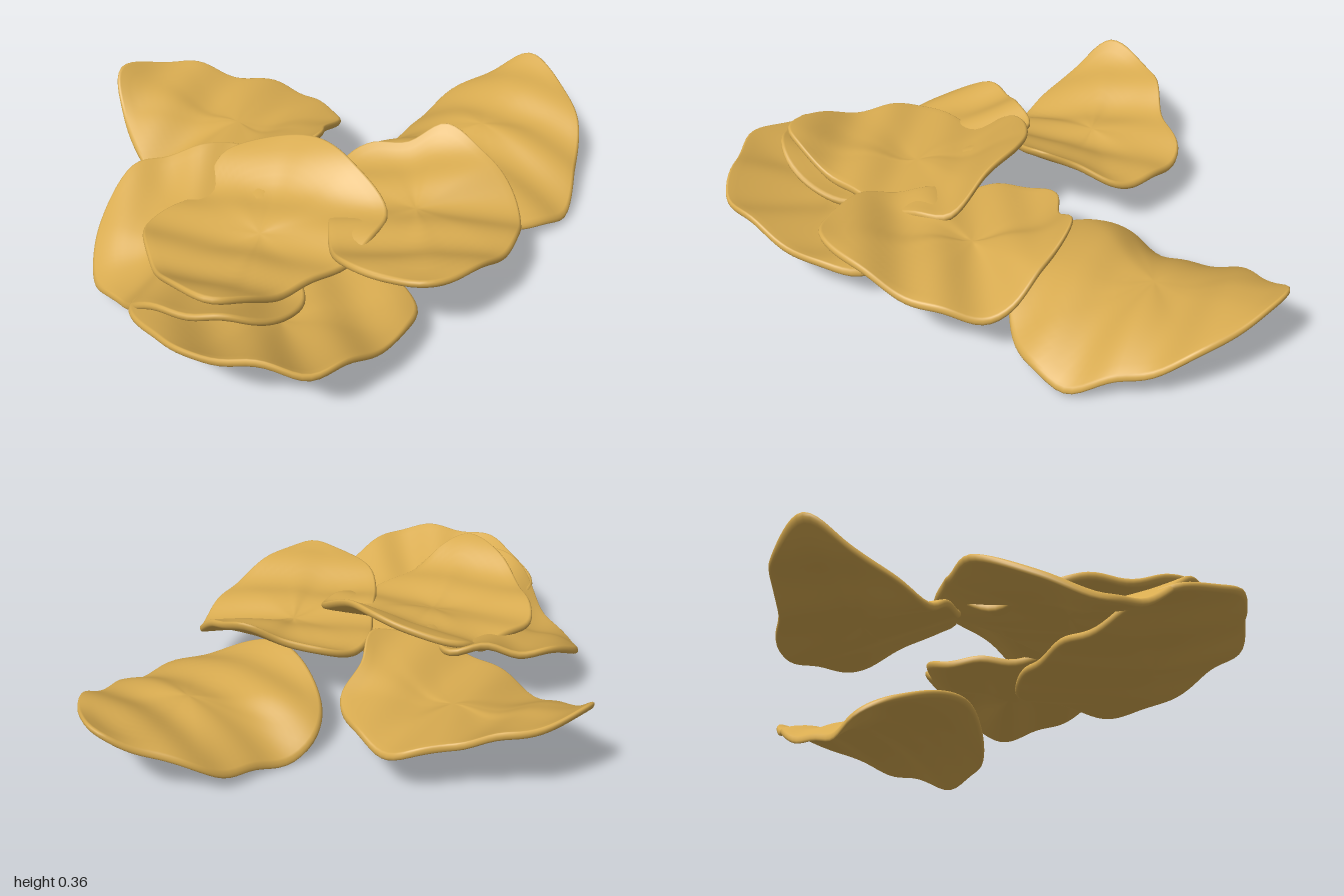
import * as THREE from 'three';
import { mergeVertices } from 'three/addons/utils/BufferGeometryUtils.js';

const HALF = 0.015; // half of a crisp's thickness
const SEGMENTS = 96;

// Cross-section from the middle of the top, round the edge, to the middle below
function section() {
  const top = [], edge = [];
  for (let i = 0; i < 14; i++) top.push([(i / 14) * 0.97, HALF]);
  for (let i = 0; i <= 6; i++) {
    const a = Math.PI * (0.5 - i / 6);
    edge.push([0.97 + 0.03 * Math.cos(a), HALF * Math.sin(a)]);
  }
  const bottom = top.map(([r, lift]) => [r, -lift]).reverse();
  return [...top, ...edge, ...bottom];
}

// A curved, rippled sheet inside a closed rim that runs back, right, front, left.
// "mid" is the height of its middle, "waveAngle" the direction across the ripples.
function crispGeometry(mid, waveAngle, corners) {
  const points = corners.map((p) => new THREE.Vector3(...p));
  const rim = new THREE.CatmullRomCurve3(points, true, 'centripetal').getSpacedPoints(SEGMENTS);
  const centre = points.reduce((sum, p) => sum.add(p), new THREE.Vector3()).divideScalar(points.length);
  const angle = THREE.MathUtils.degToRad(waveAngle);
  const positions = [], index = [];
  const steps = section();

  steps.forEach(([r, lift], i) => {
    for (let j = 0; j < SEGMENTS; j++) {
      const p = rim[j];
      const opposite = rim[(j + SEGMENTS / 2) % SEGMENTS].y;
      // tilt grows evenly from the middle, bending grows with the square
      const tilt = (p.y - opposite) / 2;
      const bend = (p.y + opposite) / 2 - mid;
      const x = THREE.MathUtils.lerp(centre.x, p.x, r);
      const z = THREE.MathUtils.lerp(centre.z, p.z, r);
      const ripple = 0.01 * Math.sin((x * Math.cos(angle) + z * Math.sin(angle)) * 27);
      positions.push(x, mid + tilt * r + bend * r * r + ripple + lift, z);
      if (i < steps.length - 1) {
        const a = i * SEGMENTS + j, d = i * SEGMENTS + (j + 1) % SEGMENTS;
        const b = a + SEGMENTS, c = d + SEGMENTS;
        index.push(a, c, b, a, d, c);
      }
    }
  });

  const geometry = new THREE.BufferGeometry();
  geometry.setAttribute('position', new THREE.Float32BufferAttribute(positions, 3));
  geometry.setIndex(index);
  const merged = mergeVertices(geometry, 1e-5);
  merged.computeVertexNormals();
  return merged;
}

export function createModel() {
  const group = new THREE.Group();
  group.name = 'pileOfCrisps';
  const golden = new THREE.MeshStandardMaterial({ color: 0xd8ab50 });
  golden.name = 'golden crisp';

  function addCrisp(name, mid, waveAngle, corners) {
    const mesh = new THREE.Mesh(crispGeometry(mid, waveAngle, corners), golden);
    mesh.name = name;
    group.add(mesh);
  }

  // Outer crisps
  addCrisp('backCrisp', 0.19, 68, [
    [-0.28, 0.33, -0.8], [-0.04, 0.29, -0.74], [0.1, 0.23, -0.59], [0.24, 0.18, -0.48], [0.25, 0.18, -0.26],
    [0.2, 0.22, -0.13], [0.07, 0.28, -0.07], [-0.04, 0.33, 0.01], [-0.24, 0.27, -0.08],
    [-0.39, 0.17, -0.3], [-0.43, 0.12, -0.46], [-0.37, 0.24, -0.68]]);
  addCrisp('sideCrisp', 0.17, -12, [
    [0.29, 0.05, -0.1], [0.46, 0.02, -0.09], [0.7, 0.1, -0.09], [0.84, 0.18, -0.01], [0.98, 0.27, 0.09],
    [0.97, 0.27, 0.21], [0.86, 0.18, 0.44], [0.7, 0.1, 0.56], [0.53, 0.04, 0.65], [0.32, 0.08, 0.6],
    [0.14, 0.19, 0.33], [0.18, 0.14, 0.01]]);
  addCrisp('frontCrisp', 0.215, -45, [
    [-0.22, 0.22, 0.24], [-0.1, 0.21, 0.11], [0.04, 0.24, 0.07], [0.12, 0.26, 0.1], [0.2, 0.28, 0.2],
    [0.31, 0.34, 0.28], [0.33, 0.29, 0.46], [0.31, 0.19, 0.6], [0.23, 0.18, 0.69], [0, 0.24, 0.79],
    [-0.31, 0.32, 0.78], [-0.37, 0.31, 0.69], [-0.4, 0.26, 0.48]]);

  // Stack of three, from the bottom up
  addCrisp('lowerCrisp', 0.14, 30, [
    [-0.94, 0.2, 0.14], [-0.7, 0.13, 0.08], [-0.45, 0.12, 0.1], [-0.2, 0.1, 0.22], [-0.2, 0.12, 0.5],
    [-0.25, 0.12, 0.68], [-0.38, 0.14, 0.75], [-0.62, 0.21, 0.78], [-0.78, 0.25, 0.76],
    [-0.89, 0.27, 0.62], [-0.99, 0.26, 0.46], [-0.99, 0.24, 0.34]]);
  addCrisp('middleCrisp', 0.175, 50, [
    [-0.55, 0.24, -0.37], [-0.43, 0.26, -0.33], [-0.33, 0.28, -0.26], [-0.22, 0.28, -0.19], [-0.3, 0.22, 0.05],
    [-0.42, 0.17, 0.3], [-0.53, 0.16, 0.47], [-0.76, 0.26, 0.5], [-0.88, 0.29, 0.4], [-0.94, 0.23, 0.2],
    [-0.9, 0.11, 0.02], [-0.88, 0.06, -0.15], [-0.76, 0.14, -0.29]]);
  addCrisp('topCrisp', 0.21, -30, [
    [-0.68, 0.22, -0.12], [-0.48, 0.2, -0.14], [-0.28, 0.27, -0.19], [-0.13, 0.34, -0.06], [-0.08, 0.36, 0.06],
    [-0.08, 0.33, 0.22], [-0.1, 0.26, 0.4], [-0.28, 0.22, 0.46], [-0.5, 0.21, 0.45], [-0.74, 0.29, 0.45],
    [-0.84, 0.33, 0.41], [-0.855, 0.29, 0.24], [-0.8, 0.24, 0.06]]);
  return group;
}
